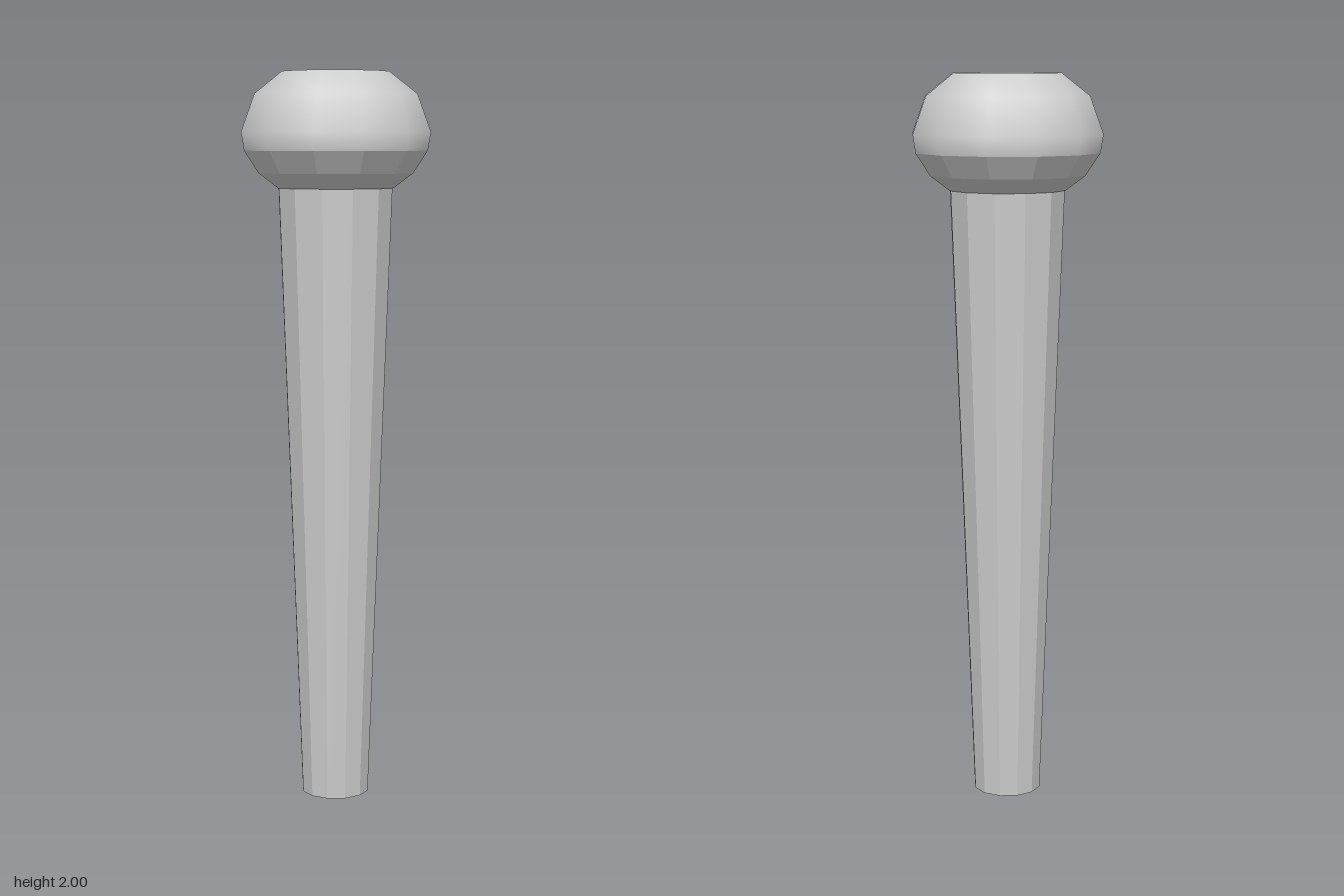
import * as THREE from 'three';

const SIDES = 12;

export function createModel() {
  const group = new THREE.Group();
  const smooth = new THREE.MeshStandardMaterial({ color: 0xcccccc });
  const faceted = new THREE.MeshStandardMaterial({ color: 0xcccccc, flatShading: true });

  const add = (name, geometry, material, y = 0) => {
    const mesh = new THREE.Mesh(geometry, material);
    mesh.name = name;
    mesh.position.y = y;
    group.add(mesh);
  };
  // Turned band from [radius, height] pairs, bottom to top
  const turned = (profile) =>
    new THREE.LatheGeometry(profile.map(([r, y]) => new THREE.Vector2(r, y)), SIDES);

  // Tapered shaft, narrow at the foot
  add('shaft', new THREE.CylinderGeometry(0.158, 0.094, 1.69, SIDES), faceted, 0.845);

  // Faceted underside of the knob
  add('knobUnderside', turned([[0, 1.69], [0.16, 1.69], [0.214, 1.73], [0.254, 1.79]]), faceted);

  // Smooth rounded body of the knob
  add('knobBody', turned([[0.254, 1.79], [0.262, 1.84], [0.225, 1.94], [0.148, 2]]), smooth);

  // Flat top of the knob
  const cap = new THREE.CircleGeometry(0.148, SIDES).rotateX(-Math.PI / 2);
  add('knobCap', cap, faceted, 2);

  return group;
}
